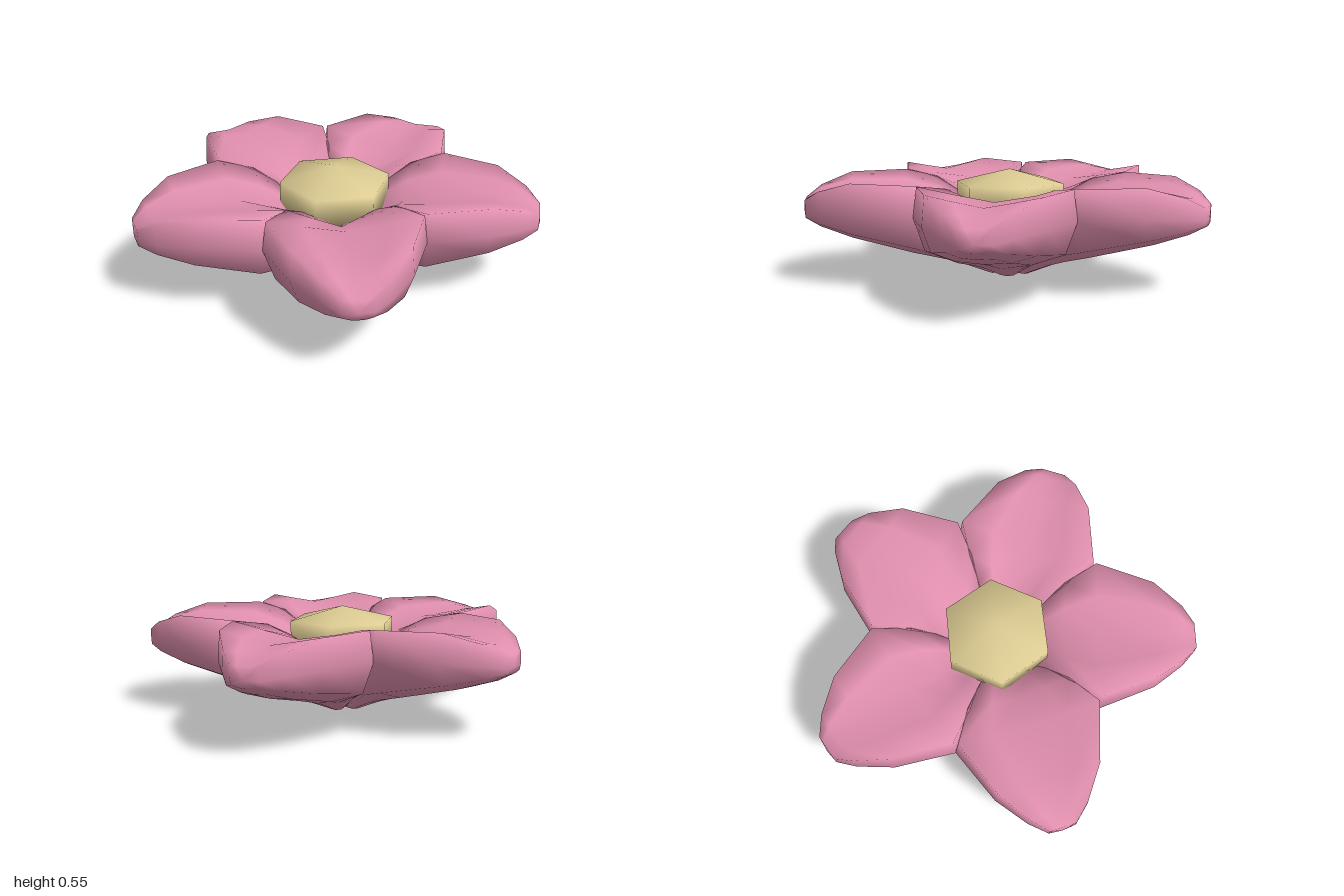
import * as THREE from 'three';

// Petal cross-sections along its length:
// [distance, half width, top edge y, top centre y, side y, keel y]
const SECTIONS = [
  [0.0, 0.03, 0.1, 0.1, 0.05, 0.0],
  [0.1, 0.075, 0.22, 0.2, 0.1, 0.0],
  [0.25, 0.19, 0.42, 0.33, 0.22, 0.065],
  [0.35, 0.275, 0.485, 0.385, 0.31, 0.1],
  [0.515, 0.378, 0.515, 0.45, 0.37, 0.15],
  [0.8, 0.265, 0.52, 0.47, 0.38, 0.23],
  [0.95, 0.15, 0.47, 0.455, 0.37, 0.285],
  [1.02, 0.07, 0.42, 0.42, 0.36, 0.325],
];

// One closed ring of points: shallow trough on top, steep sides, broad flat keel
function ring([d, w, edge, top, side, keel]) {
  const half = [
    [0, top],
    [0.5 * w, top + (edge - top) * 0.5],
    [0.95 * w, edge],
    [w, side],
    [0.86 * w, side + (keel - side) * 0.7],
    [0.45 * w, side + (keel - side) * 0.94],
    [0, keel],
  ];
  const mirrored = half.slice(1, -1).reverse().map(([x, y]) => [-x, y]);
  return [...half, ...mirrored].map(([x, y]) => [x, y, d]);
}

function petalGeometry() {
  const rings = SECTIONS.map(ring);
  const n = rings[0].length;
  const points = rings.flat();
  const index = [];
  for (let i = 0; i < rings.length - 1; i++) {
    for (let j = 0; j < n; j++) {
      const a = i * n + j, b = i * n + ((j + 1) % n);
      index.push(a, a + n, b, a + n, b + n, b);
    }
  }
  // Close the base and the tip
  const last = (rings.length - 1) * n;
  const base = points.push([0, 0.05, 0]) - 1;
  const tip = points.push([0, 0.36, 1.028]) - 1;
  for (let j = 0; j < n; j++) {
    const k = (j + 1) % n;
    index.push(base, j, k, tip, last + k, last + j);
  }
  const geometry = new THREE.BufferGeometry();
  geometry.setAttribute('position', new THREE.Float32BufferAttribute(points.flat(), 3));
  geometry.setIndex(index);
  geometry.computeVertexNormals();
  return geometry;
}

export function createModel() {
  const flower = new THREE.Group();
  flower.name = 'flower';
  const pink = new THREE.MeshStandardMaterial({ color: 0xe08fae });
  const yellow = new THREE.MeshStandardMaterial({ color: 0xdccb92 });

  // Five petals around the centre
  const geometry = petalGeometry();
  for (let k = 0; k < 5; k++) {
    const petal = new THREE.Mesh(geometry, pink);
    petal.name = `petal${k + 1}`;
    petal.rotation.y = Math.PI + (k * 2 * Math.PI) / 5;
    petal.position.z = 0.07;
    flower.add(petal);
  }

  // Six-sided button in the middle: shallow cone top over short upright walls
  const button = new THREE.SphereGeometry(0.327, 6, 3);
  button.rotateY(Math.PI / 2);
  button.scale(1, 0.43, 1);
  const centre = new THREE.Mesh(button, yellow);
  centre.name = 'flowerCentre';
  centre.position.set(0, 0.405, 0.07);
  flower.add(centre);

  return flower;
}
